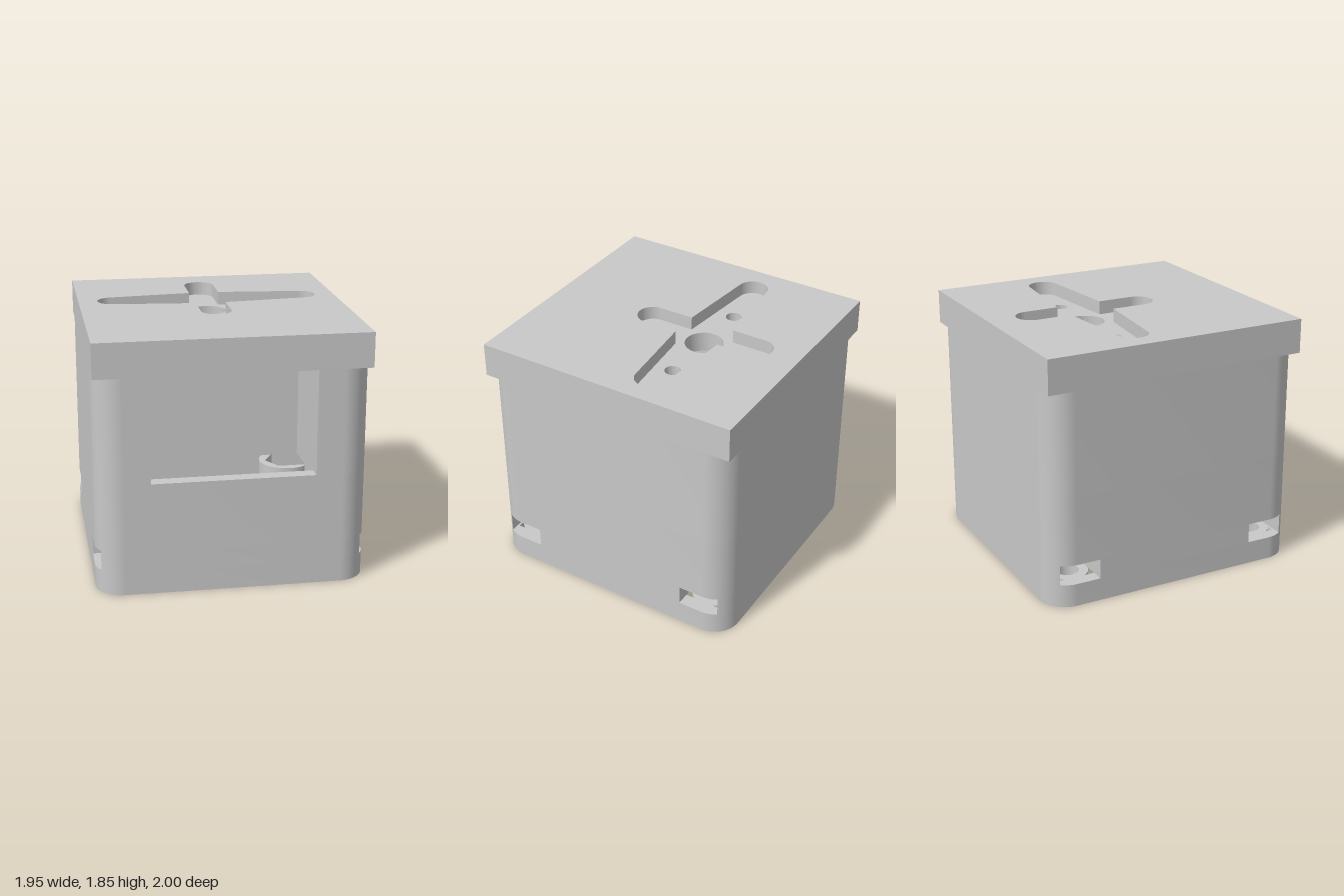
import * as THREE from 'three';
import { toCreasedNormals } from 'three/addons/utils/BufferGeometryUtils.js';

const W = 0.975, D = 1;            // outer half sizes
const IW = 0.875, ID = 0.9;        // inner half sizes
const R = 0.2;                     // outer corner radius
const BX = 0.745, BZ = 0.768;      // screw boss centre
const HEX = 0.148;                 // nut half width across flats
const HR = HEX / Math.cos(Math.PI / 6);
const SLOT0 = 0.17, SLOT1 = 0.317; // nut slot heights
const WINDOW = 0.585, SILL = 0.825;
const LID0 = 1.592, LID1 = 1.745, LID2 = 1.845;
const HORN_Z = -0.231;

// points of an arc in the x-z plane
function arc(cx, cz, r, a0, a1, n = 24) {
  const pts = [];
  for (let i = 0; i <= n; i++) {
    const a = a0 + (a1 - a0) * i / n;
    pts.push([cx + r * Math.cos(a), cz + r * Math.sin(a)]);
  }
  return pts;
}
const circle = (cx, cz, r) => arc(cx, cz, r, 0, Math.PI * 2, 40).slice(0, -1);
const rect = (w, d) => [[w, d], [-w, d], [-w, -d], [w, -d]];
const flip = (pts, sx, sz) => pts.map(([x, z]) => [x * sx, z * sz]);
const mirrorX = (pts) => [...pts, ...flip(pts, -1, 1).reverse()];

export function createModel() {
  const model = new THREE.Group();
  model.name = 'servoHousing';
  const grey = new THREE.MeshStandardMaterial({ color: 0xc8c8c8 });
  grey.name = 'grey plastic';

  // horizontal slab from an x-z outline, with holes, between two heights
  function slab(name, outline, holes, y0, y1, parent) {
    const vec = (pts) => {
      const v = pts.map(([x, z]) => new THREE.Vector2(x, -z));
      return THREE.ShapeUtils.isClockWise(v) ? v.reverse() : v;
    };
    const shape = new THREE.Shape(vec(outline));
    for (const h of holes) shape.holes.push(new THREE.Path(vec(h)));
    const geo = new THREE.ExtrudeGeometry(shape, { depth: y1 - y0, bevelEnabled: false });
    geo.rotateX(-Math.PI / 2);
    geo.translate(0, y0, 0);
    const mesh = new THREE.Mesh(toCreasedNormals(geo, 0.4), grey);
    mesh.name = name;
    parent.add(mesh);
  }

  // walls: rounded outside, square inside
  const body = new THREE.Group();
  body.name = 'body';
  model.add(body);
  const q = Math.PI / 2;
  const frontCorner = arc(W - R, D - R, R, 0, q);
  const frontHalf = mirrorX(frontCorner);
  const outline = [...frontHalf, ...flip(frontHalf, 1, -1).reverse()];
  slab('lowerWall', outline, [rect(IW, ID)], 0, SLOT0, body);
  slab('middleWall', outline, [rect(IW, ID)], SLOT1, SILL, body);

  // wall level broken by the nut slots
  const slotZ = BZ + HEX, slotX = BX - HR / 2;
  const a0 = Math.asin((slotZ - (D - R)) / R);
  const endWall = mirrorX([
    [slotX - (slotZ - ID) / Math.sqrt(3), ID], [slotX, slotZ],
    ...arc(W - R, D - R, R, a0, q),
  ]);
  const z = BZ - HEX;
  for (const s of [1, -1]) {
    slab(s > 0 ? 'frontSlotWall' : 'backSlotWall', flip(endWall, 1, s), [], SLOT0, SLOT1, body);
    slab(s > 0 ? 'leftSlotWall' : 'rightSlotWall',
      [[s * IW, -z], [s * W, -z], [s * W, z], [s * IW, z]], [], SLOT0, SLOT1, body);
  }

  // upper wall with the front window
  slab('upperWall', mirrorX([
    ...arc(W - R, -(D - R), R, -q, 0), ...frontCorner,
    [WINDOW, D], [WINDOW, ID], [IW, ID], [IW, -ID],
  ]), [], SILL, LID0, body);

  // screw bosses: a drilled neck and a wider nut trap open to the side
  const aOpen = Math.asin(HEX / 0.22);
  const trap = [
    ...arc(0, 0, 0.22, aOpen, Math.PI * 2 - aOpen, 36),
    [-HR / 2, -HEX], [-HR, 0], [-HR / 2, HEX],
  ];
  for (const sx of [1, -1]) for (const sz of [1, -1]) {
    const boss = new THREE.Group();
    boss.name = 'screwBoss';
    boss.position.set(sx * BX, 0, sz * BZ);
    slab('bossNeck', circle(0, 0, 0.15), [circle(0, 0, 0.083)], 0, SLOT0, boss);
    slab('nutTrap', flip(trap, sx, sz), [], SLOT0, 0.308, boss);
    model.add(boss);
  }

  // lid: drilled plate below, cross-shaped recess above
  const lid = new THREE.Group();
  lid.name = 'lid';
  model.add(lid);
  slab('lidPlate', rect(W, D), [
    circle(0, HORN_Z, 0.141), circle(0.432, HORN_Z, 0.058), circle(-0.432, HORN_Z, 0.058),
  ], LID0, LID1, lid);

  const arm = 0.113, tilt = 0.1;
  const rightHalf = [
    ...arc(0, -0.437, arm, -q, 0),
    [arm, -0.173],
    ...arc(0.72, 0, arm, -q + tilt, q - tilt),
    [arm, 0.173],
    ...arc(0, 0.437, arm, 0, q),
  ];
  const leftHalf = flip(rightHalf, -1, 1).reverse().slice(1, -1);
  const cross = [...rightHalf, ...leftHalf].map(([x, cz]) => [x, cz + HORN_Z]);
  slab('lidRecess', rect(W, D), [cross], LID1, LID2, lid);

  return model;
}
